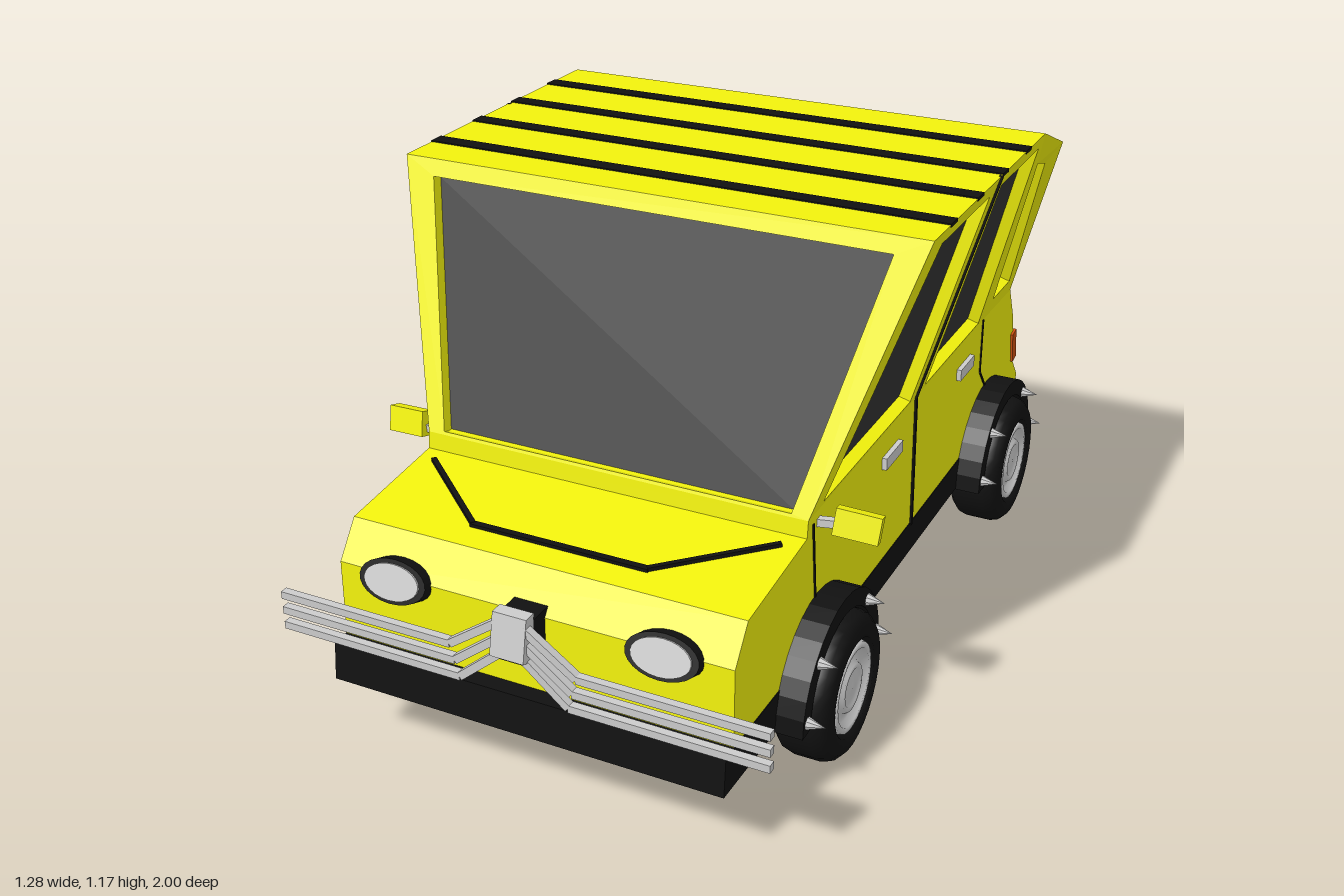
import * as THREE from 'three';

const mat = (color, flatShading = true) =>
  new THREE.MeshStandardMaterial({ color, flatShading, side: THREE.DoubleSide });
const yellow = mat(0xf2f20c), black = mat(0x111111), glass = mat(0x333333), orange = mat(0xcc5010);
const grey = mat(0xcccccc), tyreBlack = mat(0x111111, false), hubGrey = mat(0xcccccc, false);
const V = (x, y, z) => new THREE.Vector3(x, y, z);

export function createModel() {
  const model = new THREE.Group();

  function add(name, geometry, material, x = 0, y = 0, z = 0) {
    const mesh = new THREE.Mesh(geometry, material);
    mesh.name = name;
    mesh.position.set(x, y, z);
    model.add(mesh);
    return mesh;
  }
  const box = (name, m, w, h, d, x, y, z) => add(name, new THREE.BoxGeometry(w, h, d), m, x, y, z);

  // Square bar between two points
  function bar(name, m, p, q, w, h = w) {
    const mesh = box(name, m, w, h, p.distanceTo(q), 0, 0, 0);
    mesh.position.copy(p).lerp(q, 0.5);
    mesh.lookAt(q);
    return mesh;
  }
  // Side outline in (z, y), extruded across x
  function extrudeX(name, m, shape, x0, x1, curveSegments = 10) {
    const g = new THREE.ExtrudeGeometry(shape, { depth: x1 - x0, bevelEnabled: false, curveSegments });
    return add(name, g.rotateY(-Math.PI / 2).translate(x1, 0, 0), m);
  }
  const outline = pts => new THREE.Shape(pts.map(p => new THREE.Vector2(...p)));

  function quads(name, m, list) {
    const pos = [];
    for (const [a, b, c, d] of list) for (const p of [a, b, c, a, c, d]) pos.push(p.x, p.y, p.z);
    const g = new THREE.BufferGeometry();
    g.setAttribute('position', new THREE.Float32BufferAttribute(pos, 3));
    g.computeVertexNormals();
    return add(name, g, m);
  }
  // Four-cornered panel with a recessed window; inner points are dropped onto the panel along an axis
  function windowPanel(name, outer, inner, axis, depth = 0.03) {
    const plane = new THREE.Plane().setFromCoplanarPoints(outer[0], outer[1], outer[2]);
    if (plane.distanceToPoint(V(0, 0.85, -0.1)) > 0) plane.negate();
    const n = plane.normal;
    const edge = inner.map(p => {
      const q = p.clone();
      q[axis] = 0;
      q[axis] = -plane.distanceToPoint(q) / n[axis];
      return q;
    });
    const deep = edge.map(p => p.clone().addScaledVector(n, -depth));
    const ring = (a, b) => a.map((p, i) => [p, a[(i + 1) % 4], b[(i + 1) % 4], b[i]]);
    quads(name + 'Frame', yellow, [...ring(outer, edge), ...ring(edge, deep)]);
    quads(name + 'Glass', glass, [deep]);
  }

  // Lower body with wheel cutouts
  const wheelZ = [0.495, -0.67], wheelY = 0.172;
  const body = outline([[-0.835, 0.6], [0.555, 0.6], [0.56, 0.56], [0.85, 0.53], [0.91, 0.45], [0.915, 0.25]]);
  body.absarc(wheelZ[0], wheelY, 0.2, 0.4, Math.PI - 0.4, false);
  body.absarc(wheelZ[1], wheelY, 0.2, 0.4, Math.PI, false);
  for (const p of [[-0.935, 0.172], [-0.965, 0.29], [-0.915, 0.35], [-0.885, 0.5]]) body.lineTo(...p);
  extrudeX('body', yellow, body, -0.47, 0.47);
  box('underbody', black, 0.86, 0.17, 1.82, 0, 0.262, 0);
  box('sill', black, 0.944, 0.082, 0.8, 0, 0.215, -0.09);
  extrudeX('frontBumper', black, outline([[0.955, 0.27], [0.965, 0.18], [0.72, 0.172], [0.69, 0.265]]), -0.472, 0.472);

  // Flared cabin: corner points for either side
  const A = s => V(s * 0.635, 1.17, 0.33), B = s => V(s * 0.47, 0.6, 0.555);
  const C = s => V(s * 0.635, 1.17, -0.45), D = s => V(s * 0.635, 1.1, -0.62);
  const E = s => V(s * 0.47, 0.595, -0.835), F = s => V(s * 0.47, 0.6, -0.6);
  const midTop = s => V(s * 0.635, 1.17, -0.11), midLow = s => V(s * 0.47, 0.6, -0.09);
  quads('roof', yellow, [[A(1), C(1), C(-1), A(-1)], [C(1), D(1), D(-1), C(-1)]]);
  windowPanel('windshield', [A(-1), B(-1), B(1), A(1)],
    [V(-0.555, 1.133, 0), V(-0.43, 0.607, 0), V(0.43, 0.607, 0), V(0.555, 1.133, 0)], 'z');
  windowPanel('rearWindow', [D(-1), E(-1), E(1), D(1)],
    [V(-0.565, 1.065, 0), V(-0.43, 0.65, 0), V(0.43, 0.65, 0), V(0.565, 1.065, 0)], 'z', 0.04);
  for (const s of [1, -1]) {
    const zy = pts => pts.map(([z, y]) => V(0, y, z));
    windowPanel('frontDoorWindow', [A(s), B(s), midLow(s), midTop(s)],
      zy([[0.25, 1.135], [0.48, 0.61], [-0.045, 0.61], [-0.065, 1.135]]), 'x');
    windowPanel('rearDoorWindow', [midTop(s), midLow(s), F(s), C(s)],
      zy([[-0.15, 1.135], [-0.15, 0.61], [-0.55, 0.61], [-0.435, 1.135]]), 'x');
    windowPanel('quarterWindow', [C(s), F(s), E(s), D(s)],
      zy([[-0.505, 1.075], [-0.63, 0.65], [-0.765, 0.65], [-0.6, 1.045]]), 'x');

    // Door seams and handles
    const sill = V(s * 0.47, 0.25, -0.1);
    bar('doorSeam', black, midTop(s), midLow(s), 0.01);
    bar('doorSeam', black, midLow(s), sill, 0.01);
    bar('frontSeam', black, V(s * 0.47, 0.58, 0.53), V(s * 0.47, 0.39, 0.51), 0.006);
    bar('rearSeam', black, F(s), V(s * 0.47, 0.45, -0.6), 0.006);
    bar('rearSeam', black, V(s * 0.47, 0.45, -0.6), V(s * 0.47, 0.38, -0.66), 0.006);
    for (const z of [0.07, -0.455]) box('doorHandle', grey, 0.02, 0.03, 0.105, s * 0.472, 0.525, z);

    // Mirror on its arm
    bar('mirrorArm', grey, V(s * 0.46, 0.57, 0.5), V(s * 0.53, 0.58, 0.5), 0.018);
    box('mirror', yellow, 0.1, 0.06, 0.03, s * 0.56, 0.584, 0.5).rotation.set(-0.25, s * 0.15, s * -0.06);

    // Oval headlight
    const tilt = Math.PI / 2 - 0.35;
    const rim = add('headlightRim', new THREE.CylinderGeometry(0.083, 0.083, 0.07, 24), black, s * 0.32, 0.44, 0.9);
    const lens = add('headlightLens', new THREE.CylinderGeometry(0.068, 0.068, 0.07, 24), grey, s * 0.32, 0.441, 0.905);
    for (const m of [rim, lens]) { m.rotation.x = tilt; m.scale.z = 0.58; }

    // Tail light with orange corner
    box('tailLight', grey, 0.225, 0.09, 0.03, s * 0.32, 0.405, -0.9).rotation.x = 0.2;
    box('tailIndicator', orange, 0.045, 0.09, 0.032, s * 0.454, 0.405, -0.9).rotation.x = 0.2;

    // Whisker bars
    for (let i = 0; i < 3; i++) {
      const y = 0.376 - i * 0.038, bend = V(s * (0.15 - i * 0.01), y, 0.975);
      bar('whisker', grey, V(s * 0.58, y, 0.975), bend, 0.018);
      bar('whisker', grey, bend, V(s * 0.03, y + 0.085, 0.975), 0.018);
    }

    // Wheels, arches and spikes
    for (const z of wheelZ) {
      const profile = pts => new THREE.LatheGeometry(pts.map(p => new THREE.Vector2(...p)), 28);
      const tyre = add('tyre', profile([[0, -0.065], [0.15, -0.065], [0.166, -0.05], [0.172, -0.03], [0.172, 0.03],
        [0.166, 0.05], [0.15, 0.065], [0.115, 0.065], [0.104, 0.04]]), tyreBlack, s * 0.5, wheelY, z);
      const hub = add('hub', profile([[0.11, 0.04], [0.104, 0.062], [0.09, 0.062], [0.084, 0.046], [0.062, 0.05],
        [0.056, 0.06], [0.045, 0.06], [0.04, 0.054], [0, 0.06]]), hubGrey, s * 0.5, wheelY, z);
      tyre.rotation.z = hub.rotation.z = -s * Math.PI / 2;

      const arch = new THREE.Shape();
      arch.absarc(z, wheelY, 0.22, 0, Math.PI, false);
      arch.absarc(z, wheelY, 0.178, Math.PI, 0, true);
      extrudeX('wheelArch', black, arch, s > 0 ? 0.43 : -0.535, s > 0 ? 0.535 : -0.43, 8);
      for (const deg of [8, 46, 134, 172]) {
        const a = deg * Math.PI / 180;
        add('spike', new THREE.ConeGeometry(0.015, 0.042, 8), grey,
          s * 0.555, wheelY + 0.197 * Math.sin(a), z + 0.197 * Math.cos(a)).rotation.z = -s * Math.PI / 2;
      }
    }

    // Hood outline
    const hood = (x, z) => V(s * x, 0.56 - (z - 0.56) * 0.103, z);
    bar('hoodTrim', black, hood(0.43, 0.6), hood(0.21, 0.78), 0.012, 0.016);
  }
  bar('hoodTrim', black, V(-0.214, 0.538, 0.78), V(0.214, 0.538, 0.78), 0.016, 0.012);

  // Roof stripes
  for (const z of [0.21, 0.035, -0.14, -0.315]) box('roofStripe', black, 1.272, 0.008, 0.04, 0, 1.169, z);

  // Nose ornament and exhaust
  extrudeX('nose', grey, outline([[0.95, 0.485], [0.98, 0.485], [1, 0.39], [0.96, 0.375]]), -0.04, 0.04);
  box('noseMount', black, 0.08, 0.11, 0.09, 0, 0.415, 0.92);
  add('exhaust', new THREE.CylinderGeometry(0.027, 0.027, 0.09, 16), hubGrey, -0.38, 0.228, -0.955).rotation.x = Math.PI / 2;

  return model;
}
